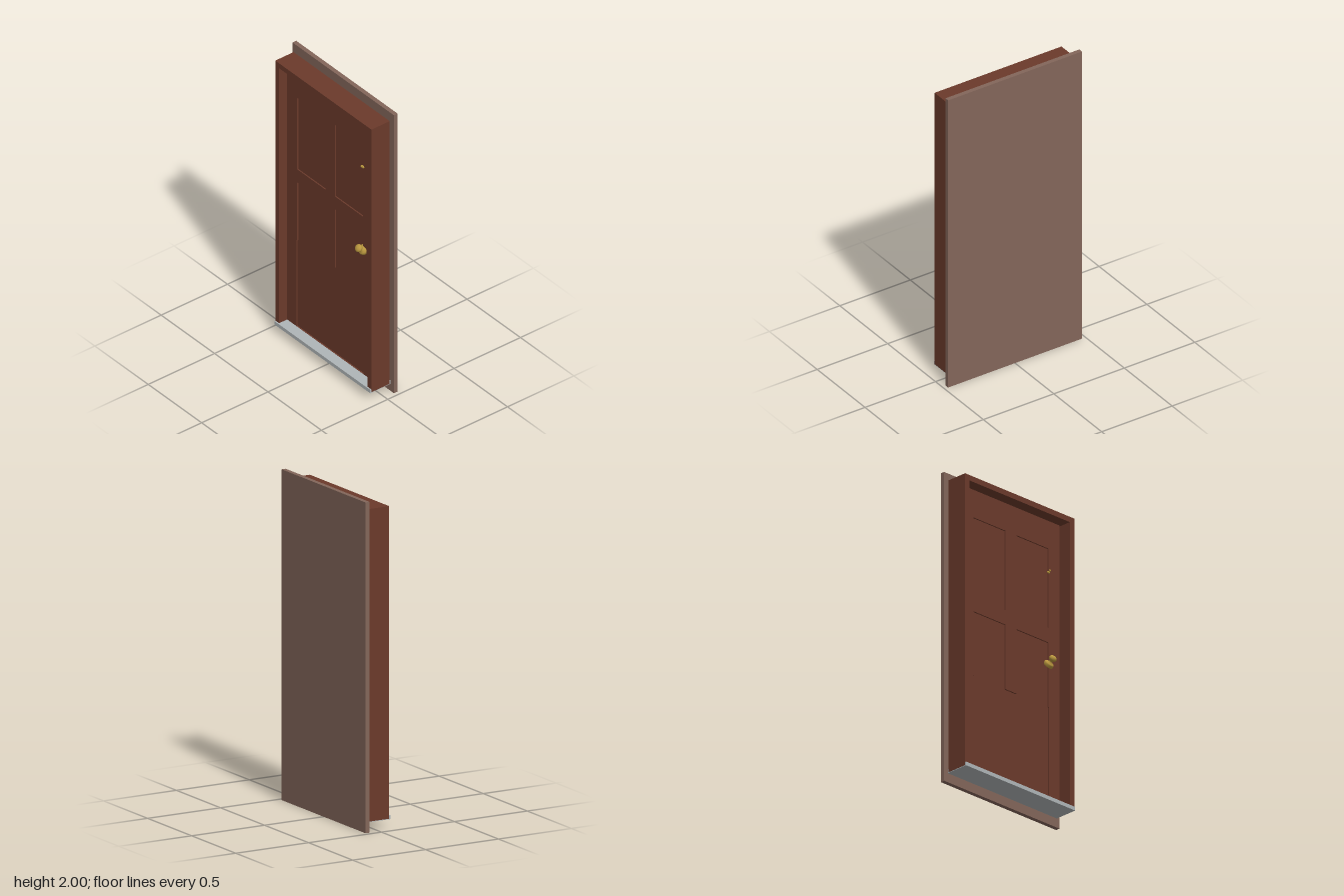
import * as THREE from 'three';

const material = (name, color) => new THREE.MeshStandardMaterial({ name, color });

export function createModel() {
  const door = new THREE.Group();
  door.name = 'door';
  const wood = material('redBrownWood', 0x6b3a2b);
  const backing = material('dullBrown', 0x83665a);
  const metal = material('greyMetal', 0xafb5b7);
  const brass = material('brass', 0xb8963e);

  const add = (name, geometry, mat, parent = door) => {
    const mesh = new THREE.Mesh(geometry, mat);
    mesh.name = name;
    parent.add(mesh);
    return mesh;
  };
  // Box given by its lower and upper limits
  const box = (name, mat, [x0, y0, z0], [x1, y1, z1]) => {
    const mesh = add(name, new THREE.BoxGeometry(x1 - x0, y1 - y0, z1 - z0), mat);
    mesh.position.set((x0 + x1) / 2, (y0 + y1) / 2, (z0 + z1) / 2);
  };
  const outline = (points, Type = THREE.Path) =>
    new Type(points.map(([x, y]) => new THREE.Vector2(x, y)));
  const rect = (x0, y0, x1, y1) => [[x0, y0], [x1, y0], [x1, y1], [x0, y1]];

  // Solid backing panel and sill
  box('backPanel', backing, [-0.475, 0, -0.095], [0.475, 2, -0.067]);
  box('threshold', metal, [-0.449, 0.056, -0.063], [0.449, 0.08, 0.091]);

  // Frame: two jambs and a head in one piece
  const frame = outline([
    [-0.45, 0.06], [-0.414, 0.06], [-0.414, 1.915], [0.412, 1.915],
    [0.412, 0.06], [0.45, 0.06], [0.45, 1.95], [-0.45, 1.95],
  ], THREE.Shape);
  add('frame', new THREE.ExtrudeGeometry(frame, { depth: 0.138, bevelEnabled: false }), wood)
    .position.z = -0.055;

  // Leaf: a core with a cut-out facing that leaves the panels sunken
  const front = 0.022, sunk = 0.008;
  box('leafCore', wood, [-0.414, 0.07, front - 0.045], [0.388, 1.905, front - sunk]);
  const facing = outline(rect(-0.414, 0.07, 0.388, 1.905), THREE.Shape);
  facing.holes.push(
    outline(rect(-0.32, 1.212, -0.056, 1.726)),
    outline(rect(0.034, 1.212, 0.296, 1.726)),
    // Lower panel, with the middle stile reaching down into it
    outline([
      [-0.326, 0.081], [0.302, 0.081], [0.302, 0.7], [0.296, 0.7], [0.296, 1.118],
      [0.034, 1.118], [0.034, 0.7], [-0.056, 0.7], [-0.056, 1.118], [-0.32, 1.118],
      [-0.32, 0.7], [-0.326, 0.7],
    ]),
  );
  add('leafFacing', new THREE.ExtrudeGeometry(facing, { depth: sunk, bevelEnabled: false }), wood)
    .position.z = front - sunk;

  // Turned brass fitting: rose, neck and round knob, tilted upwards
  const knobProfile = [
    [0, -0.01], [0.032, -0.01], [0.032, 0.006], [0.026, 0.012], [0.012, 0.018], [0.01, 0.026],
    [0.018, 0.031], [0.024, 0.04], [0.024, 0.048], [0.018, 0.056], [0.009, 0.06], [0, 0.061],
  ].map(([x, y]) => new THREE.Vector2(x, y));
  const fitting = (name, y, scale) => {
    const mesh = add(name, new THREE.LatheGeometry(knobProfile, 24), brass);
    mesh.position.set(0.298, y, front);
    mesh.rotation.x = Math.PI / 2 - 0.62;
    mesh.scale.setScalar(scale);
  };
  fitting('doorKnob', 0.977, 1);
  fitting('nightLatch', 1.573, 0.32);

  return door;
}
